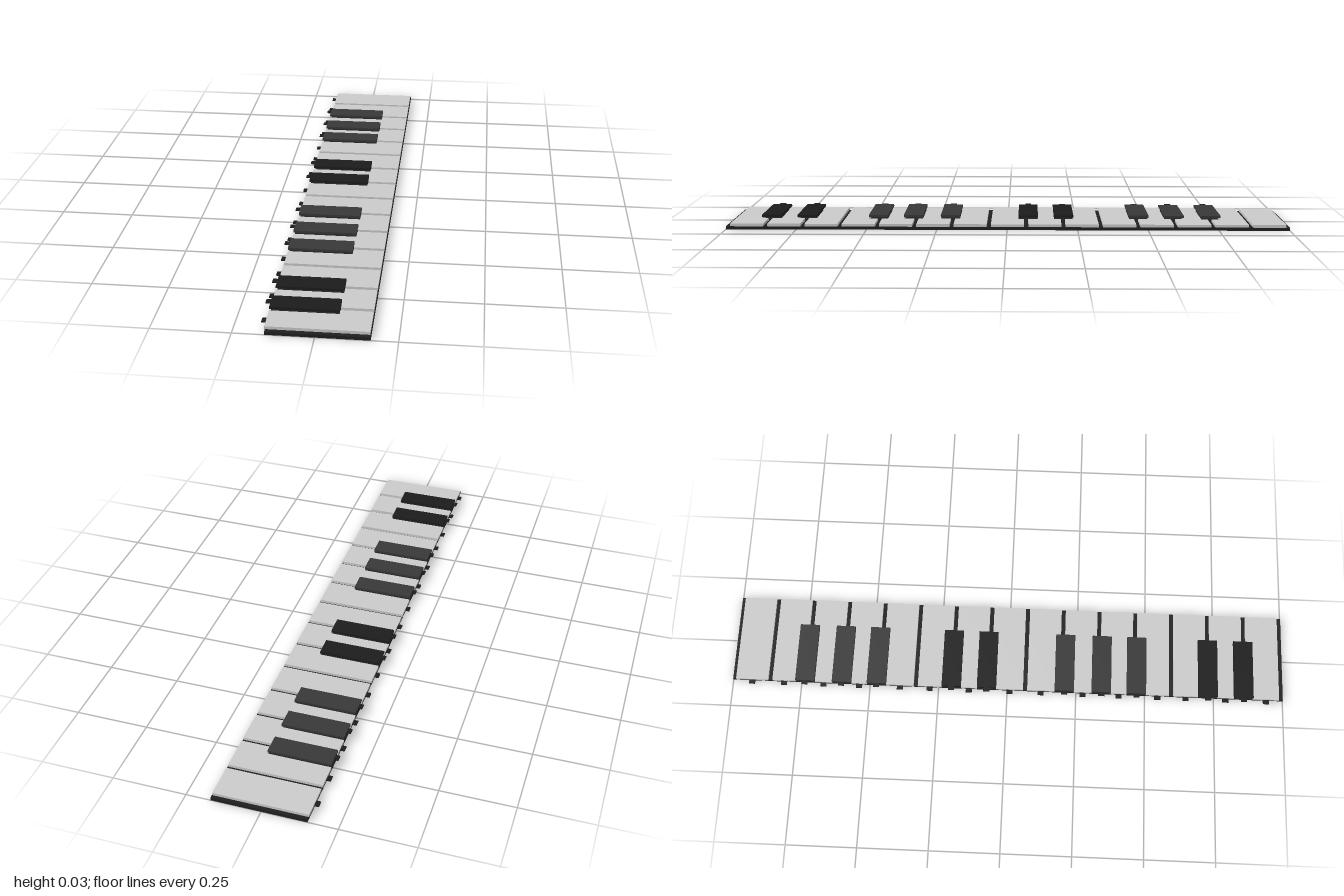
import * as THREE from 'three';

const PITCH = 0.1325, START = -0.995, GAP = 0.015;
const BACK = -0.153, FRONT = 0.165, BLACK_FRONT = 0.063, BLACK_HALF = 0.035;
// centres of the raised keys along the keyboard, in groups of three and two
const TRIPLES = [-0.735, -0.602, -0.475, 0.207, 0.341, 0.468];
const PAIRS = [-0.203, -0.075, 0.727, 0.856];

export function createModel() {
  const model = new THREE.Group();
  const mat = (color) => new THREE.MeshStandardMaterial({ color });
  const white = mat(0xcccccc), dark = mat(0x1c1c1c), charcoal = mat(0x383838), baseMat = mat(0x202020);

  const box = (parent, name, material, [x0, x1], [y0, y1], [z0, z1]) => {
    const mesh = new THREE.Mesh(new THREE.BoxGeometry(x1 - x0, y1 - y0, z1 - z0), material);
    mesh.position.set((x0 + x1) / 2, (y0 + y1) / 2, (z0 + z1) / 2);
    mesh.name = name;
    parent.add(mesh);
  };
  // small contact tab behind a key
  const tab = (parent, z, y0, y1) =>
    box(parent, 'keyTab', dark, [-0.168, BACK], [y0, y1], [z - 0.011, z + 0.011]);

  // base plate
  box(model, 'basePlate', baseMat, [-0.151, 0.167], [0, 0.0107], [-1, 1]);

  // white keys, narrowed at the back where a black key sits
  const blacks = [...TRIPLES, ...PAIRS];
  for (let i = 0; i < 15; i++) {
    const z0 = START + i * PITCH + GAP / 2, z1 = z0 + PITCH - GAP;
    let b0 = z0, b1 = z1;
    for (const c of blacks) {
      if (Math.abs(c - z0) < 0.05) b0 = Math.max(b0, c + BLACK_HALF);
      if (Math.abs(c - z1) < 0.05) b1 = Math.min(b1, c - BLACK_HALF);
    }
    const outline = [[FRONT, z0], [BLACK_FRONT, z0], [BLACK_FRONT, b0], [BACK, b0],
      [BACK, b1], [BLACK_FRONT, b1], [BLACK_FRONT, z1], [FRONT, z1]];
    const points = outline.map(([x, z]) => new THREE.Vector2(x, -z))
      .filter((p, k, a) => k === 0 || p.distanceTo(a[k - 1]) > 1e-6);
    const geometry = new THREE.ExtrudeGeometry(new THREE.Shape(points), { depth: 0.0098, bevelEnabled: false });
    geometry.rotateX(-Math.PI / 2);
    const key = new THREE.Group();
    key.name = 'whiteKey';
    const body = new THREE.Mesh(geometry, white);
    body.name = 'whiteKeyBody';
    body.position.y = 0.0107;
    key.add(body);
    tab(key, (b0 + b1) / 2, 0.0115, 0.0152);
    model.add(key);
  }

  // black keys
  const blackKey = (z, material) => {
    const key = new THREE.Group();
    key.name = 'blackKey';
    box(key, 'blackKeyBody', material, [BACK, BLACK_FRONT], [0.025, 0.033], [z - BLACK_HALF, z + BLACK_HALF]);
    tab(key, z, 0.0297, 0.033);
    model.add(key);
  };
  TRIPLES.forEach((z) => blackKey(z, charcoal));
  PAIRS.forEach((z) => blackKey(z, dark));

  return model;
}
